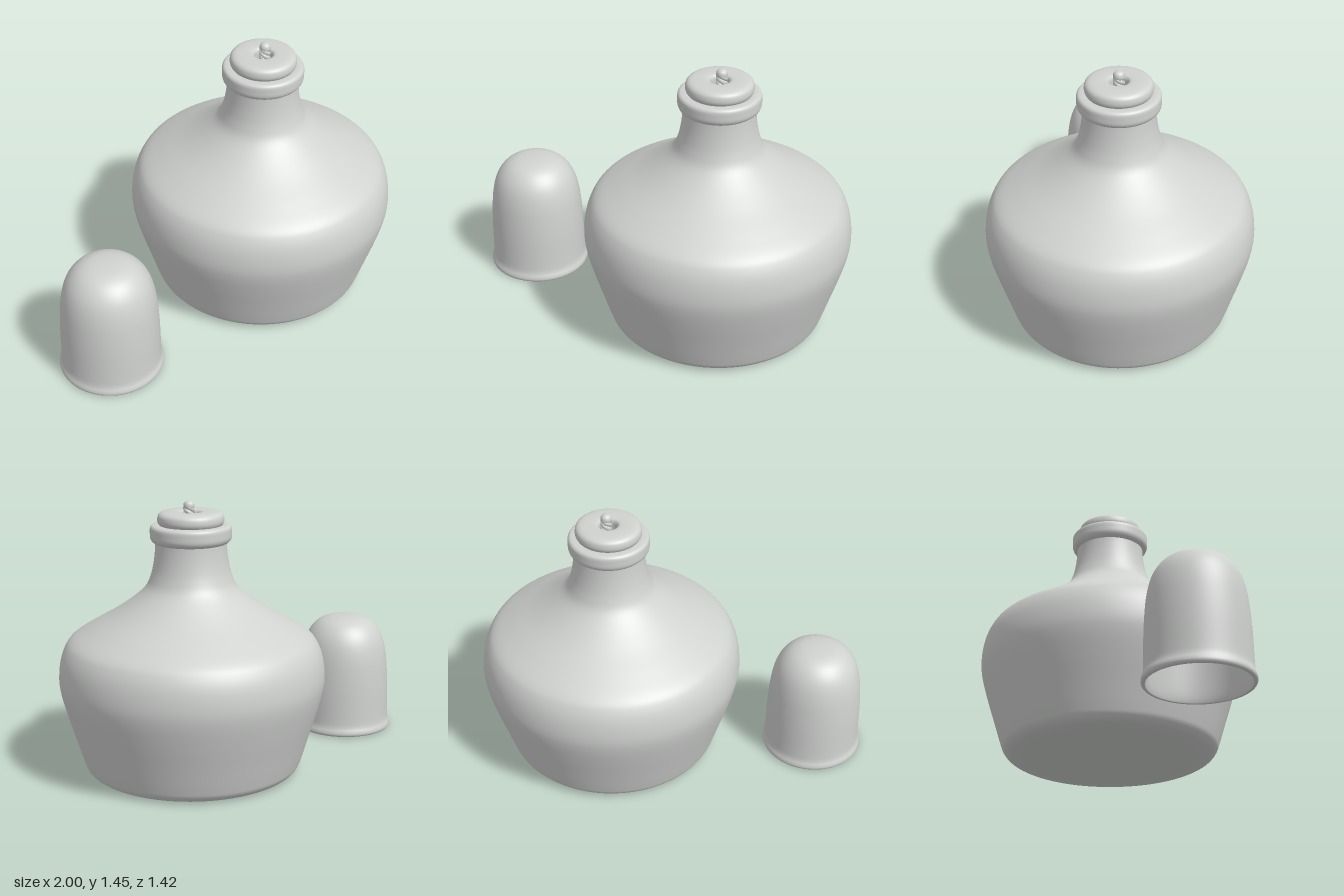
import * as THREE from 'three';

const ceramic = new THREE.MeshStandardMaterial({ color: 0xd0d2d0 });
ceramic.name = 'pale grey';

// Smooth profile through [radius, height] points, turned around the y axis
function turned(name, profile, samples, segments = 96) {
  const curve = new THREE.SplineCurve(profile.map(([r, y]) => new THREE.Vector2(r, y)));
  const points = curve.getPoints(samples).map((p) => new THREE.Vector2(Math.max(p.x, 0), p.y));
  const mesh = new THREE.Mesh(new THREE.LatheGeometry(points, segments), ceramic);
  mesh.name = name;
  return mesh;
}

export function createModel() {
  const model = new THREE.Group();
  model.name = 'spiritLamp';

  const lamp = new THREE.Group();
  lamp.name = 'lamp';
  lamp.position.set(0.298, 0, -0.013);
  model.add(lamp);

  // Wide vessel with sloping shoulder and narrow neck
  lamp.add(turned('vessel', [
    [0, 0.002], [0.3, 0.002], [0.49, 0.002], [0.535, 0.008], [0.567, 0.035], [0.585, 0.08],
    [0.622, 0.2], [0.662, 0.33], [0.691, 0.44], [0.7, 0.52], [0.69, 0.61], [0.665, 0.68],
    [0.625, 0.73], [0.53, 0.79], [0.41, 0.86], [0.31, 0.93], [0.24, 0.995],
    [0.21, 1.06], [0.194, 1.13], [0.186, 1.2], [0.184, 1.26],
  ], 120));

  // Rounded lip around the mouth
  lamp.add(turned('neckLip', [
    [0.18, 1.225], [0.19, 1.228], [0.203, 1.238], [0.211, 1.255], [0.212, 1.28],
    [0.211, 1.305], [0.203, 1.317], [0.19, 1.321], [0.165, 1.321], [0.15, 1.31],
  ], 40));

  // Stopper with a central wick hole
  lamp.add(turned('stopper', [
    [0.15, 1.3], [0.162, 1.318], [0.171, 1.333], [0.173, 1.35], [0.168, 1.371], [0.152, 1.384],
    [0.125, 1.389], [0.085, 1.39], [0.06, 1.387], [0.05, 1.378], [0.046, 1.36], [0.046, 1.31],
    [0.044, 1.3], [0, 1.3],
  ], 60));

  // Wick: twisted strands ending in a rounded tip
  const wick = new THREE.Group();
  wick.name = 'wick';
  wick.position.set(0.01, 0, -0.004);
  lamp.add(wick);
  for (let i = 0; i < 3; i++) {
    const path = [];
    for (let j = 0; j <= 24; j++) {
      const a = (i / 3) * Math.PI * 2 + (j / 24) * Math.PI * 3;
      path.push(new THREE.Vector3(Math.cos(a) * 0.017, 1.3 + (j / 24) * 0.115, Math.sin(a) * 0.017));
    }
    const strand = new THREE.Mesh(
      new THREE.TubeGeometry(new THREE.CatmullRomCurve3(path), 60, 0.013, 8), ceramic);
    strand.name = 'wickStrand';
    wick.add(strand);
  }
  wick.add(turned('wickTip', [
    [0, 1.4], [0.018, 1.401], [0.027, 1.408], [0.029, 1.42], [0.025, 1.434], [0.014, 1.443], [0, 1.446],
  ], 24, 24));

  // Hollow snuffer cap standing beside the lamp: inside first, then outside
  const cap = turned('snufferCap', [
    [0, 0.635], [0.09, 0.618], [0.165, 0.56], [0.21, 0.47], [0.23, 0.35], [0.236, 0.2],
    [0.243, 0.06], [0.25, 0.008], [0.257, 0.001], [0.267, 0.004], [0.272, 0.015], [0.27, 0.03],
    [0.262, 0.055], [0.259, 0.1], [0.256, 0.25], [0.25, 0.36], [0.24, 0.45], [0.222, 0.525],
    [0.195, 0.58], [0.155, 0.623], [0.105, 0.648], [0.05, 0.657], [0, 0.659],
  ], 110, 72);
  cap.position.set(-0.727, 0, 0.439);
  model.add(cap);

  return model;
}
